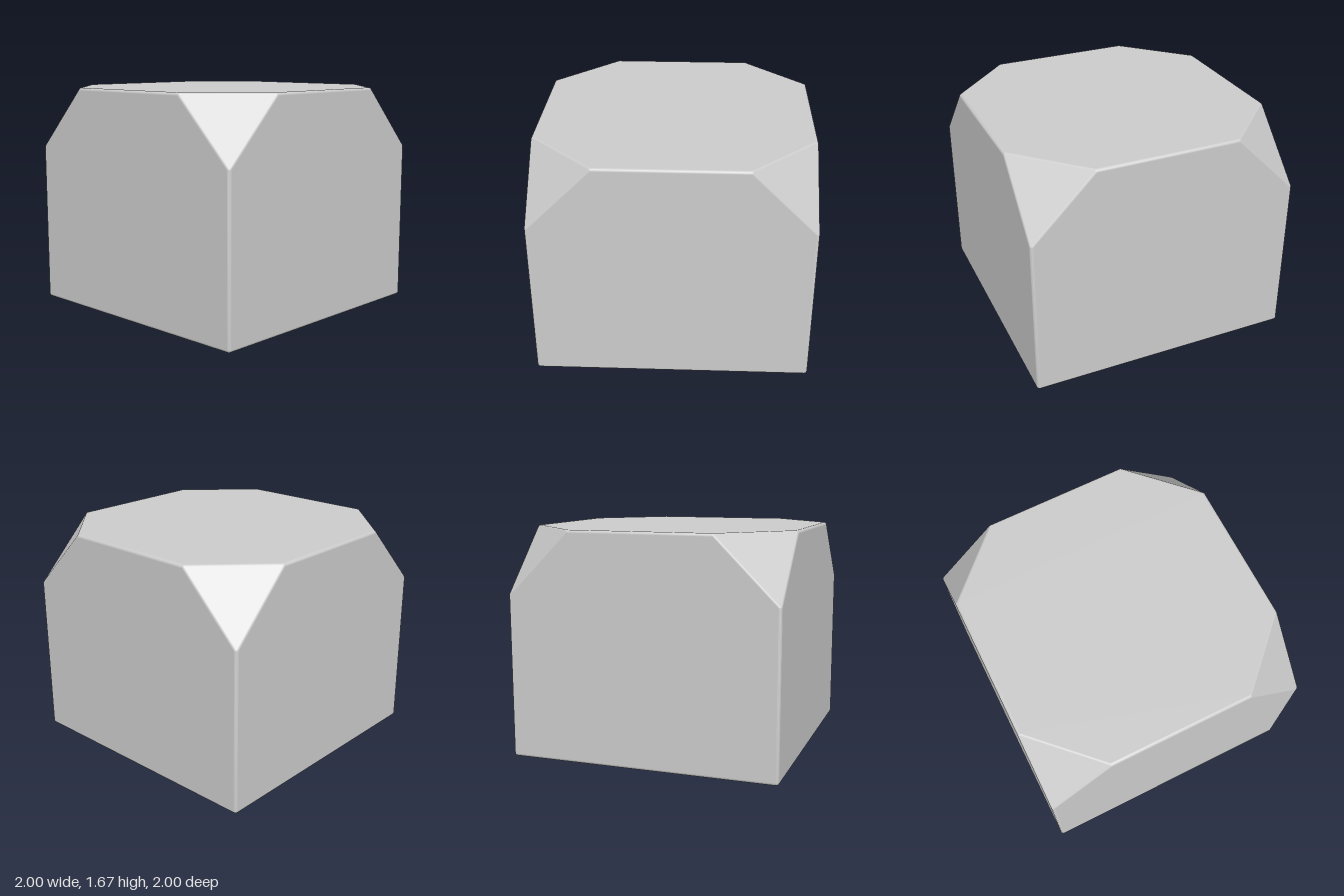
import * as THREE from 'three';
import { ConvexGeometry } from 'three/addons/geometries/ConvexGeometry.js';

const HALF = 1, HEIGHT = 1.675, CUT = 0.48, RADIUS = 0.022, STEPS = 4;

// Directions spread over the corner patch between three face normals
function cornerDirections(a, b, c) {
  const dirs = [];
  for (let i = 0; i <= STEPS; i++) {
    for (let j = 0; j <= STEPS - i; j++) {
      dirs.push(new THREE.Vector3()
        .addScaledVector(a, i / STEPS)
        .addScaledVector(b, j / STEPS)
        .addScaledVector(c, (STEPS - i - j) / STEPS)
        .normalize());
    }
  }
  return dirs;
}

// Block with its four top corners cut off and every edge softly rounded
function cutCornerBlock() {
  const h = HALF - RADIUS, top = HEIGHT - RADIUS;
  // corner cut measured on the inset core, so the outer cut plane stays in place
  const cut = CUT + RADIUS * (Math.sqrt(3) - 3);
  const up = new THREE.Vector3(0, 1, 0), down = new THREE.Vector3(0, -1, 0);
  const cores = [], points = [];

  const addCorner = (x, y, z, a, b, c) => {
    const core = new THREE.Vector3(x, y, z);
    cores.push(core);
    for (const d of cornerDirections(a, b, c)) points.push(d.multiplyScalar(RADIUS).add(core));
  };

  for (const sx of [-1, 1]) {
    for (const sz of [-1, 1]) {
      const side = new THREE.Vector3(sx, 0, 0), face = new THREE.Vector3(0, 0, sz);
      const slant = new THREE.Vector3(sx, 1, sz).normalize();
      addCorner(sx * h, RADIUS, sz * h, side, face, down);
      addCorner(sx * (h - cut), top, sz * h, up, face, slant);
      addCorner(sx * h, top, sz * (h - cut), up, side, slant);
      addCorner(sx * h, top - cut, sz * h, side, face, slant);
    }
  }

  // Smooth normals point away from the nearest core corner
  const geometry = new ConvexGeometry(points);
  const pos = geometry.attributes.position, normal = geometry.attributes.normal;
  const p = new THREE.Vector3();
  for (let i = 0; i < pos.count; i++) {
    p.fromBufferAttribute(pos, i);
    const core = cores.reduce((m, c) => (c.distanceToSquared(p) < m.distanceToSquared(p) ? c : m));
    p.sub(core).normalize();
    normal.setXYZ(i, p.x, p.y, p.z);
  }
  return geometry;
}

export function createModel() {
  const group = new THREE.Group();
  group.name = 'cutCornerBlock';
  const block = new THREE.Mesh(cutCornerBlock(), new THREE.MeshStandardMaterial({ color: 0xcccccc }));
  block.name = 'block';
  group.add(block);
  return group;
}
